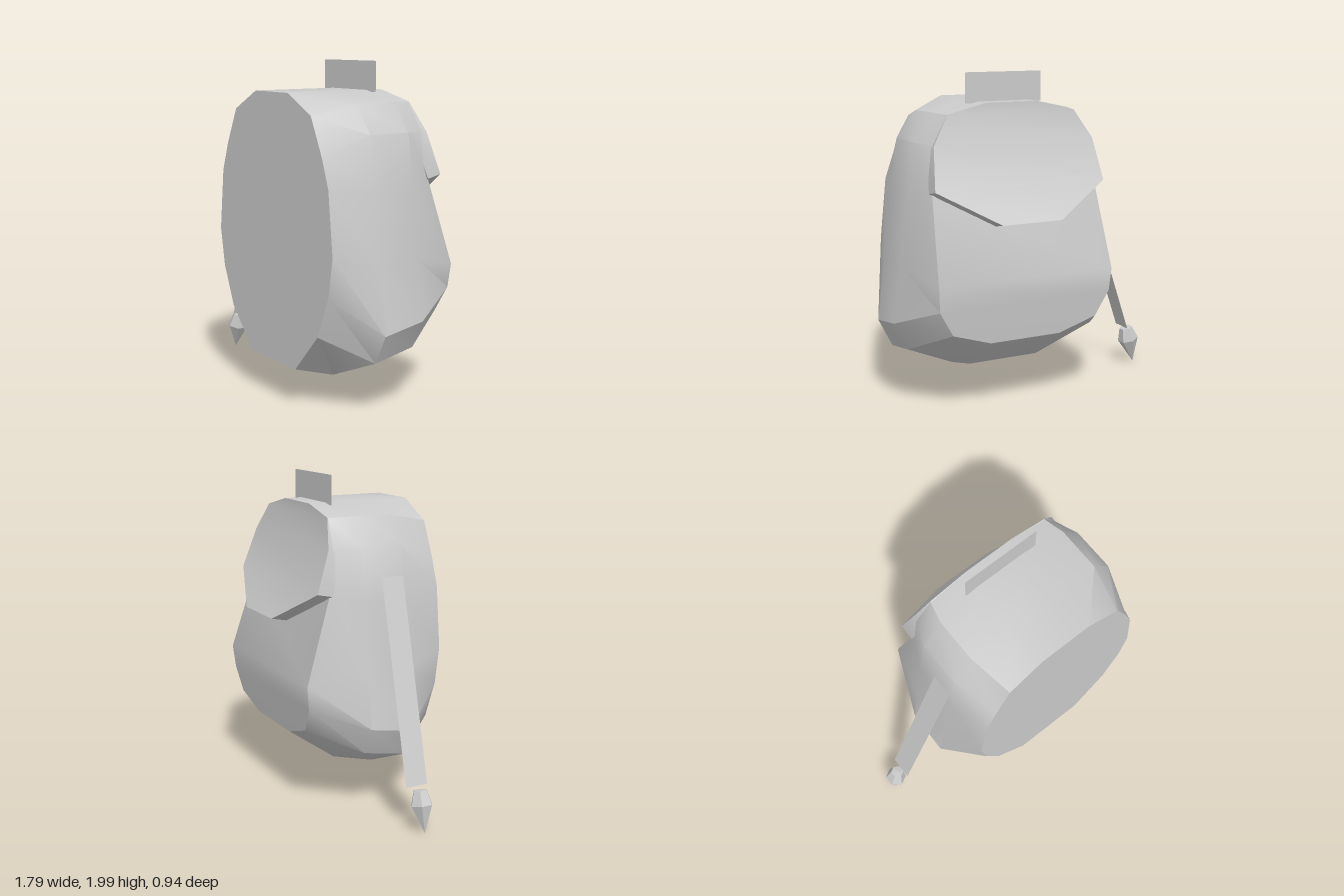
import * as THREE from 'three';
import { toCreasedNormals } from 'three/addons/utils/BufferGeometryUtils.js';

const CENTRE = 0.177; // the bag sits off-centre because of the hanging strap

const grey = (extra = {}) => new THREE.MeshStandardMaterial({ color: 0xcccccc, ...extra });

// Closed solid from mirrored cross-sections, ordered front to back.
// Each section lists its +x half, top to bottom, as [halfWidth, y, z].
function loftMirrored(sections) {
  const pos = [];
  const tri = (...pts) => pts.forEach((p) => pos.push(...p));
  const quad = (a, b, c, d) => { tri(a, b, c); tri(a, c, d); };
  const right = sections.map((s) => s.map(([x, y, z]) => [x, y, z]));
  const left = sections.map((s) => s.map(([x, y, z]) => [-x, y, z]));
  const rings = right.map((r, k) => [...r, ...[...left[k]].reverse()]);

  // outer skin
  for (let k = 0; k < rings.length - 1; k++) {
    const a = rings[k], b = rings[k + 1], n = a.length;
    for (let i = 0; i < n; i++) {
      const j = (i + 1) % n;
      quad(a[i], a[j], b[j], b[i]);
    }
  }
  // front and back caps, row by row
  const e = sections.length - 1;
  for (let i = 0; i < sections[0].length - 1; i++) {
    quad(left[0][i], left[0][i + 1], right[0][i + 1], right[0][i]);
    quad(right[e][i], right[e][i + 1], left[e][i + 1], left[e][i]);
  }
  const geo = new THREE.BufferGeometry();
  geo.setAttribute('position', new THREE.Float32BufferAttribute(pos, 3));
  return toCreasedNormals(geo, 0.55);
}

const atDepth = (z, half) => half.map(([x, y]) => [x, y, z]);

export function createModel() {
  const group = new THREE.Group();
  const add = (name, geometry, material = grey()) => {
    const mesh = new THREE.Mesh(geometry, material);
    mesh.name = name;
    group.add(mesh);
    return mesh;
  };

  // bag body: flat front panel, bulging middle, sloping back
  const body = add('bagBody', loftMirrored([
    atDepth(0.47, [[0.165, 1.83], [0.385, 1.715], [0.485, 1.5], [0.545, 1.33],
      [0.585, 0.96], [0.545, 0.73], [0.445, 0.49], [0.228, 0.25]]),
    atDepth(0.2, [[0.165, 1.83], [0.44, 1.77], [0.565, 1.61], [0.61, 1.31],
      [0.665, 0.88], [0.712, 0.51], [0.625, 0.335], [0.228, 0.165]]),
    atDepth(-0.07, [[0.165, 1.83], [0.44, 1.775], [0.565, 1.61], [0.61, 1.31],
      [0.665, 0.9], [0.712, 0.555], [0.625, 0.385], [0.228, 0.235]]),
    [[0.165, 1.83, -0.2], [0.41, 1.77, -0.2], [0.51, 1.6, -0.22], [0.53, 1.34, -0.25],
      [0.565, 0.82, -0.415], [0.555, 0.68, -0.4], [0.47, 0.53, -0.385], [0.228, 0.45, -0.375]],
  ]));
  body.position.x = CENTRE;

  // closing flap: a thick slab lying over the upper back
  const flapOuter = [[0.165, 1.83, -0.2], [0.41, 1.772, -0.203], [0.515, 1.6, -0.25],
    [0.545, 1.355, -0.335], [0.19, 1.16, -0.465]];
  const flapInner = flapOuter.map(([x, y, z]) => [x, y - 0.02, z + 0.095]);
  const flap = add('flap', loftMirrored([flapInner, flapOuter]));
  flap.position.x = CENTRE;

  // carrying loop: a flat upright tab on top
  const handle = add('topHandle', new THREE.PlaneGeometry(0.495, 0.18),
    grey({ side: THREE.DoubleSide }));
  handle.position.set(CENTRE, 1.91, -0.09);

  // hanging strap: a flat ribbon sheared slightly along its length
  const ribbon = new THREE.PlaneGeometry(1, 1);
  const p = ribbon.attributes.position;
  for (let i = 0; i < p.count; i++) {
    const t = 0.5 - p.getY(i); // 0 at the top, 1 at the bottom
    p.setXYZ(i, -0.42 - 0.37 * t, 1.43 - 1.16 * t, 0.127 - 0.042 * t - 0.142 * p.getX(i));
  }
  ribbon.computeVertexNormals();
  add('hangingStrap', ribbon, grey({ side: THREE.DoubleSide }));

  // pointed weight at the end of the strap
  const profile = [[0, 0], [0.068, 0.165], [0.042, 0.25], [0, 0.255]]
    .map(([r, y]) => new THREE.Vector2(r, y));
  const weight = add('strapWeight', new THREE.LatheGeometry(profile, 6),
    grey({ flatShading: true }));
  weight.position.set(-0.884, 0.012, 0.087);
  weight.rotation.z = -0.24;

  return group;
}
